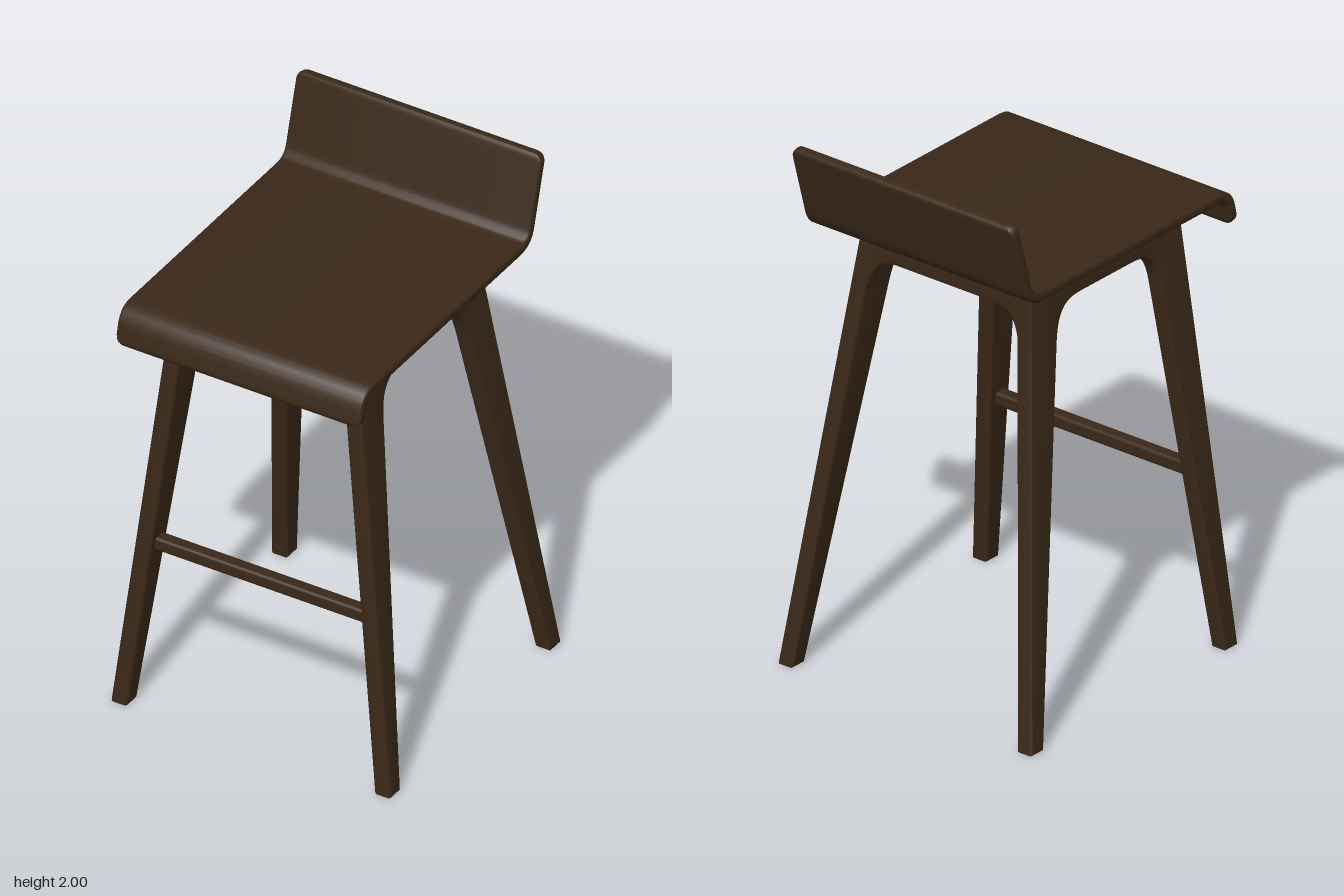
import * as THREE from 'three';
import { toCreasedNormals } from 'three/addons/utils/BufferGeometryUtils.js';
import { RoundedBoxGeometry } from 'three/addons/geometries/RoundedBoxGeometry.js';

const wood = new THREE.MeshStandardMaterial({ color: 0x3a2818 });
const TOP = 1.66;

// Offsets of the splayed legs' outer faces at height y
const sideX = (y) => 0.56 - 0.113 * y;
const frontZ = (y) => 0.52 - 0.054 * y;
const backZ = (y) => -0.585 + 0.1355 * y;

function part(name, geometry) {
  const mesh = new THREE.Mesh(geometry, wood);
  mesh.name = name;
  return mesh;
}

// Extrudes a shape with eased edges, centred on its own thickness
function board(shape, thickness) {
  const bevel = 0.008;
  const geo = new THREE.ExtrudeGeometry(shape, {
    depth: thickness - 2 * bevel, curveSegments: 10,
    bevelSize: bevel, bevelThickness: bevel, bevelOffset: -bevel, bevelSegments: 3,
  });
  return geo.translate(0, 0, bevel - thickness / 2);
}

// Leans a board by shifting each vertex along one axis according to its height
function lean(geo, axis, rule) {
  const p = geo.attributes.position;
  for (let i = 0; i < p.count; i++) {
    p.setComponent(i, axis, p.getComponent(i, axis) + rule(p.getY(i)));
  }
  return toCreasedNormals(geo, 0.6);
}

// Two legs and a side rail in one arched piece
function sideFrame(sign) {
  const s = new THREE.Shape();
  s.moveTo(0.52, 0);
  s.lineTo(frontZ(TOP), TOP);
  s.lineTo(backZ(TOP), TOP);
  s.lineTo(-0.585, 0);
  s.lineTo(-0.52, 0);
  s.lineTo(-0.255, 1.4);
  s.bezierCurveTo(-0.235, 1.5, -0.2, 1.535, -0.11, 1.535);
  s.lineTo(0.17, 1.535);
  s.bezierCurveTo(0.25, 1.535, 0.295, 1.5, 0.305, 1.4);
  s.lineTo(0.455, 0);
  const geo = board(s, 0.065).rotateY(-Math.PI / 2);
  return lean(geo, 0, (y) => sign * (sideX(y) - 0.0325));
}

// Cross rail whose lower corners curve down into the legs
function crossRail(rule) {
  const s = new THREE.Shape();
  const low = 1.42, inner = sideX(low) - 0.065;
  s.moveTo(-inner - 0.02, low);
  s.lineTo(-inner, low);
  s.bezierCurveTo(-inner + 0.015, 1.5, -0.28, 1.54, -0.22, 1.54);
  s.lineTo(0.22, 1.54);
  s.bezierCurveTo(0.28, 1.54, inner - 0.015, 1.5, inner, low);
  s.lineTo(inner + 0.02, low);
  s.lineTo(sideX(TOP) - 0.03, TOP);
  s.lineTo(-sideX(TOP) + 0.03, TOP);
  return lean(board(s, 0.055), 2, rule);
}

// Bent seat shell: a rounded slat section swept from front lip to backrest
function seatShell() {
  const path = new THREE.Path();
  path.moveTo(0.592, 1.553);
  path.lineTo(0.578, 1.615);
  path.bezierCurveTo(0.57, 1.655, 0.55, 1.675, 0.51, 1.675);
  path.lineTo(-0.43, 1.675);
  path.bezierCurveTo(-0.48, 1.675, -0.502, 1.69, -0.513, 1.73);
  path.lineTo(-0.588, 1.995);
  const length = path.getLength();
  const corner = 0.035, halfW = 0.49, halfT = 0.019, edge = 0.012;

  // Stations are dense at both ends to round the corners
  const ends = [0, 0.002, 0.005, 0.01, 0.017, 0.025, corner];
  const stations = [...ends];
  const steps = 90;
  for (let i = 1; i < steps; i++) stations.push(corner + (length - 2 * corner) * i / steps);
  stations.push(...ends.map((d) => length - d).reverse());
  stations.unshift(0);
  stations.push(length);

  const verts = [], index = [], n = 20;
  stations.forEach((d, i) => {
    const u = d / length;
    const c = path.getPointAt(u), t = path.getTangentAt(u);
    const cap = i === 0 || i === stations.length - 1;
    const fromEnd = Math.min(d, length - d);
    const a = Math.max(0, corner - fromEnd), b = Math.max(0, edge - fromEnd);
    const w = halfW - corner + Math.sqrt(corner * corner - a * a);
    const h = halfT - edge + Math.sqrt(Math.max(0, edge * edge - b * b));
    const r = Math.min(edge, h);
    for (let j = 0; j < n; j++) {
      const q = Math.floor(j / 5);
      const angle = (q + (j % 5) / 4) * Math.PI / 2;
      const sx = q === 0 || q === 3 ? 1 : -1, sy = q < 2 ? 1 : -1;
      const x = cap ? 0 : sx * (w - r) + r * Math.cos(angle);
      const k = cap ? 0 : sy * (h - r) + r * Math.sin(angle);
      verts.push(x, c.y - t.x * k, c.x + t.y * k);
      if (i > 0) {
        const m = (j + 1) % n, p = (i - 1) * n, o = i * n;
        index.push(p + j, o + j, p + m, p + m, o + j, o + m);
      }
    }
  });
  const geo = new THREE.BufferGeometry();
  geo.setAttribute('position', new THREE.Float32BufferAttribute(verts, 3));
  geo.setIndex(index);
  return toCreasedNormals(geo, 0.7);
}

export function createModel() {
  const group = new THREE.Group();
  group.name = 'barStool';
  group.add(part('seat', seatShell()));
  group.add(part('leftLegFrame', sideFrame(1)));
  group.add(part('rightLegFrame', sideFrame(-1)));
  group.add(part('frontRail', crossRail((y) => frontZ(y) - 0.031)));
  group.add(part('backRail', crossRail((y) => backZ(y) + 0.031)));

  // Footrest between the front legs
  const footrest = part('footrest', new RoundedBoxGeometry(0.87, 0.052, 0.052, 4, 0.012));
  footrest.position.set(0, 0.664, 0.435);
  group.add(footrest);
  return group;
}
